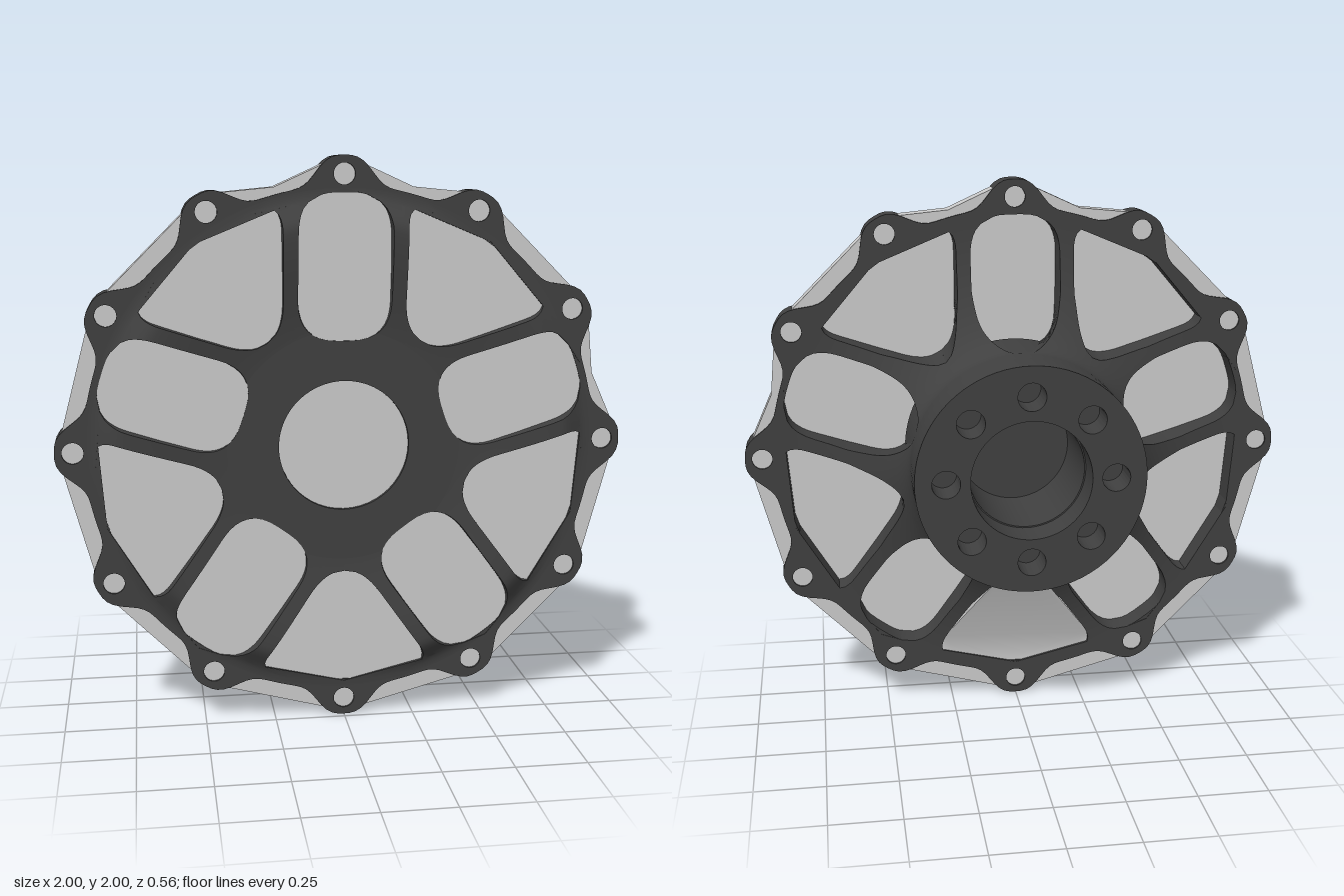
import * as THREE from 'three';
import { toCreasedNormals } from 'three/addons/utils/BufferGeometryUtils.js';

const dark = new THREE.MeshStandardMaterial({ color: 0x404040 });
const light = new THREE.MeshStandardMaterial({ color: 0xcccccc, side: THREE.DoubleSide });
const STEP = Math.PI / 5;
const TOP = Math.PI / 2;
const polar = (r, a) => new THREE.Vector2(r * Math.cos(a), r * Math.sin(a));

function mesh(name, geometry, material, z = 0) {
  const m = new THREE.Mesh(geometry, material);
  m.name = name;
  m.position.z = z;
  return m;
}

// Outline with each corner rounded by a quadratic curve
function rounded(corners, radius) {
  const pts = corners.map(([u, v]) => new THREE.Vector2(u, v));
  const shape = new THREE.Shape();
  pts.forEach((p, i) => {
    const toward = (q) => p.clone().lerp(q, Math.min(0.45, radius / p.distanceTo(q)));
    const a = toward(pts[(i + pts.length - 1) % pts.length]);
    const b = toward(pts[(i + 1) % pts.length]);
    if (i === 0) shape.moveTo(a.x, a.y); else shape.lineTo(a.x, a.y);
    shape.quadraticCurveTo(p.x, p.y, b.x, b.y);
  });
  shape.closePath();
  return shape.getPoints(8);
}

// Two alternating window shapes, with the radial direction along +x
const narrow = rounded([[0.37, -0.163], [0.875, -0.163], [0.875, 0.163], [0.37, 0.163]], 0.14);
const wide = rounded([[0.455, -0.069], [0.81, -0.322], [0.865, -0.15],
  [0.865, 0.15], [0.81, 0.322], [0.455, 0.069]], 0.1);
const windows = Array.from({ length: 10 }, (_, k) =>
  (k % 2 ? wide : narrow).map((p) => p.clone().rotateAround(new THREE.Vector2(), TOP + k * STEP)));

function inside(poly, p) {
  let hit = false;
  poly.forEach((a, i) => {
    const b = poly[(i + 1) % poly.length];
    if ((a.y > p.y) !== (b.y > p.y) &&
      p.x < a.x + ((b.x - a.x) * (p.y - a.y)) / (b.y - a.y)) hit = !hit;
  });
  return hit;
}

// Half the angle that a window takes up at radius r
function halfAngle(poly, r) {
  if (!inside(poly, polar(r, 0.0001))) return 0;
  let lo = 0, hi = STEP;
  for (let i = 0; i < 24; i++) {
    const mid = (lo + hi) / 2;
    if (inside(poly, polar(r, mid))) lo = mid; else hi = mid;
  }
  return lo;
}

// Flared back and gently dished front of the spokes
function backZ(r) {
  const s = 1 - Math.min(1, (r - 0.41) / 0.45);
  return 0.13 - 0.21 * (1 - Math.sqrt(1 - s * s));
}
function frontZ(r) {
  return 0.23 + 0.05 * (THREE.MathUtils.smoothstep(r, 0.36, 0.77)
    - THREE.MathUtils.smoothstep(r, 0.77, 0.88));
}

// One spoke: closed sections lofted outward between neighbouring windows.
// Towards the hub its back spreads, so each window narrows to a pointed pocket.
function spokeGeometry(k) {
  const rings = 40, n = 8, loop = 2 * (n + 1);
  const [first, second] = k % 2 ? [wide, narrow] : [narrow, wide];
  const pos = [], index = [];
  for (let i = 0; i <= rings; i++) {
    const r = 0.41 + 0.48 * Math.pow(i / rings, 1.6);
    const lo = halfAngle(first, r);
    const hi = halfAngle(second, r);
    const spread = Math.sqrt(Math.min(1, (backZ(r) + 0.08) / 0.18));
    for (let j = 0; j < loop; j++) {
      const front = j <= n;
      const t = (front ? j : loop - 1 - j) / n;
      const open = front ? 1 : spread;
      const angle = lo * open + (STEP - (lo + hi) * open) * t;
      const p = polar(r, TOP + k * STEP + angle);
      pos.push(p.x, p.y, front ? frontZ(r) : backZ(r));
    }
  }
  for (let i = 0; i < rings; i++) {
    for (let j = 0; j < loop; j++) {
      const a = i * loop + j, b = i * loop + (j + 1) % loop;
      index.push(a, a + loop, b + loop, a, b + loop, b);
    }
  }
  const g = new THREE.BufferGeometry();
  g.setAttribute('position', new THREE.Float32BufferAttribute(pos, 3));
  g.setIndex(index);
  return toCreasedNormals(g, 0.6);
}

function circleHole(r, center = new THREE.Vector2()) {
  return new THREE.Path().absarc(center.x, center.y, r, 0, Math.PI * 2, true);
}

function extrude(shape, depth) {
  return toCreasedNormals(new THREE.ExtrudeGeometry(shape, {
    depth, curveSegments: 40, bevelEnabled: false,
  }), 0.5);
}

function disc(r) {
  return new THREE.Shape().absarc(0, 0, r, 0, Math.PI * 2, false);
}

export function createModel() {
  const group = new THREE.Group();

  // Rim plate with twelve broad bolt lobes, ten windows and a centre bore
  const outline = [];
  for (let i = 0; i < 288; i++) {
    const d = Math.abs((i + 12) % 24 - 12) * Math.PI / 144;
    outline.push(polar(0.9 + 0.1 * Math.exp(-((d / 0.115) ** 3)), TOP + i * Math.PI / 144));
  }
  const plate = new THREE.Shape(outline);
  windows.forEach((w) => plate.holes.push(new THREE.Path(w)));
  plate.holes.push(circleHole(0.23));
  for (let i = 0; i < 12; i++) plate.holes.push(circleHole(0.037, polar(0.9375, i * Math.PI / 6)));
  group.add(mesh('rimPlate', extrude(plate, 0.096), dark, 0.132));

  // Spokes
  for (let k = 0; k < 10; k++) group.add(mesh('spoke', spokeGeometry(k), dark));

  // Hub barrel and its back flange with eight blind bolt holes
  const barrel = disc(0.41);
  barrel.holes.push(circleHole(0.21));
  group.add(mesh('hubBarrel', extrude(barrel, 0.35), dark, -0.15));
  const flange = disc(0.41);
  flange.holes.push(circleHole(0.215));
  for (let i = 0; i < 8; i++) flange.holes.push(circleHole(0.05, polar(0.3, i * Math.PI / 4)));
  group.add(mesh('hubFlange', extrude(flange, 0.13), dark, -0.28));

  // Closed bore: light on the front, dark on the back
  group.add(mesh('boreCover', new THREE.CircleGeometry(0.23, 48), light, 0.215));
  group.add(mesh('boreFloor', new THREE.CircleGeometry(0.22, 48).rotateY(Math.PI), dark, 0.19));

  // Thin panels closing the windows
  windows.forEach((w) => {
    group.add(mesh('windowPanel', new THREE.ShapeGeometry(new THREE.Shape(w)), light, 0.225));
  });

  // Slanted panel behind the bottom window
  const slant = new THREE.ShapeGeometry(new THREE.Shape(windows[5]));
  const p = slant.attributes.position;
  for (let i = 0; i < p.count; i++) p.setZ(i, 0.14 - 0.45 * Math.max(0, 0.75 + p.getY(i)));
  slant.computeVertexNormals();
  group.add(mesh('slantedPanel', slant, light));

  // Filler band between the lobes, straight-sided except for three dipped gaps
  const corners = [];
  for (let i = 0; i < 12; i++) {
    const a = TOP + i * Math.PI / 6;
    corners.push(polar(0.977, a - 0.061), polar(0.977, a + 0.061));
    if ([0, 9, 11].includes(i)) corners.push(polar(0.925, a + Math.PI / 12));
  }
  const band = new THREE.Shape(corners);
  band.holes.push(circleHole(0.885));
  group.add(mesh('fillerBand', extrude(band, 0.08), light, 0.14));

  group.position.y = 1;
  const root = new THREE.Group();
  root.name = 'wheelHub';
  root.add(group);
  return root;
}
